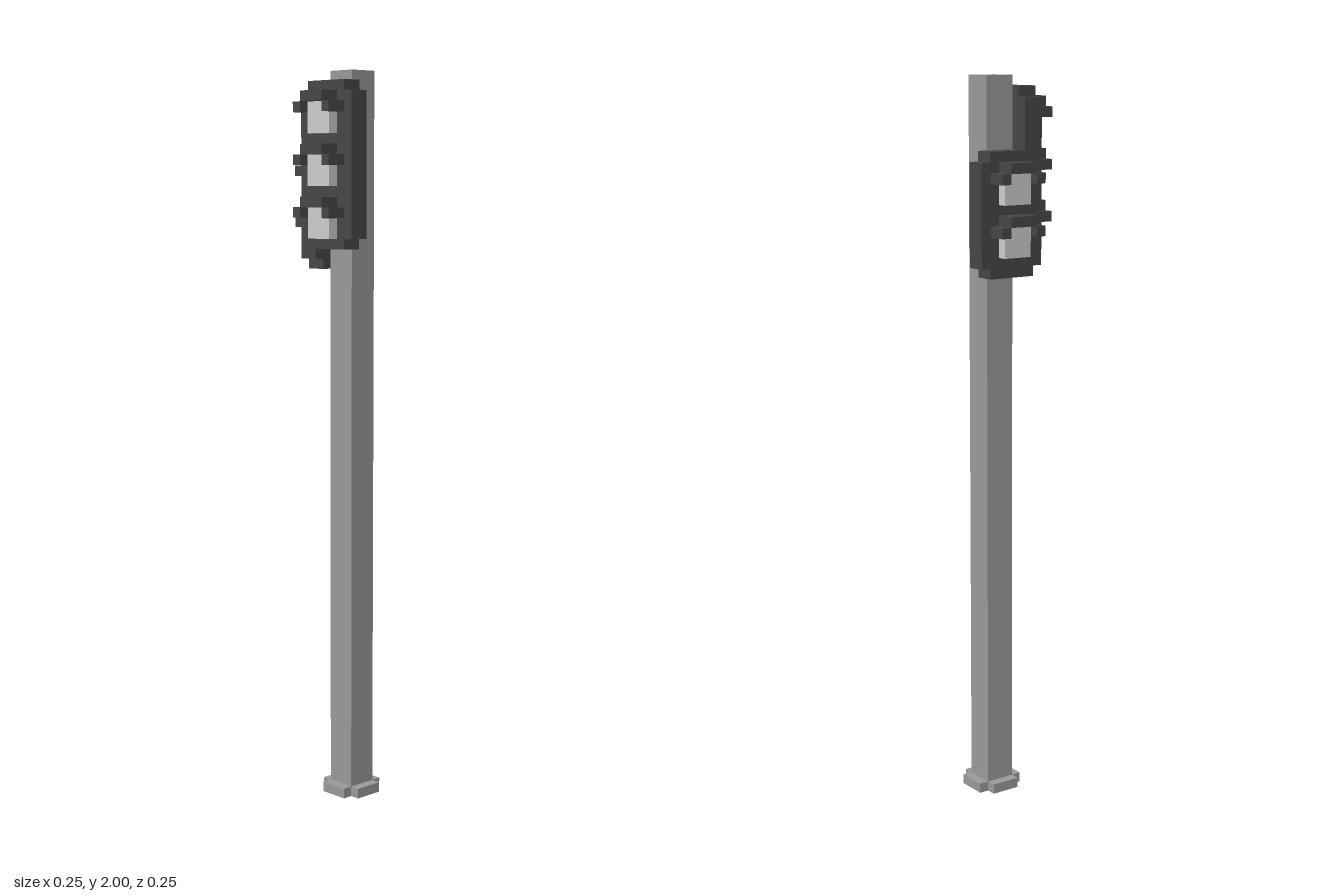
import * as THREE from 'three';

const U = 2 / 72; // size of one block

const mat = (name, color) => {
  const m = new THREE.MeshStandardMaterial({ color });
  m.name = name;
  return m;
};

// Box spanning the given block ranges
function box(name, material, [x0, x1], [y0, y1], [z0, z1]) {
  const mesh = new THREE.Mesh(
    new THREE.BoxGeometry((x1 - x0) * U, (y1 - y0) * U, (z1 - z0) * U), material);
  mesh.position.set((x0 + x1) / 2 * U, (y0 + y1) / 2 * U, (z0 + z1) / 2 * U);
  mesh.name = name;
  return mesh;
}

// Rectangle with one block notched out of every corner, extruded along z
function notchedPlate(w, h, depth) {
  const a = w / 2, b = h / 2;
  const pts = [
    [-a + 1, -b], [a - 1, -b], [a - 1, -b + 1], [a, -b + 1],
    [a, b - 1], [a - 1, b - 1], [a - 1, b], [-a + 1, b],
    [-a + 1, b - 1], [-a, b - 1], [-a, -b + 1], [-a + 1, -b + 1],
  ].map(([x, y]) => new THREE.Vector2(x * U, y * U));
  return new THREE.ExtrudeGeometry(new THREE.Shape(pts), { depth: depth * U, bevelEnabled: false });
}

export function createModel() {
  const poleGrey = mat('pole grey', 0x999999);
  const darkGrey = mat('housing dark grey', 0x464646);
  const lampGrey = mat('lamp light grey', 0xcccccc);

  const model = new THREE.Group();
  model.name = 'signalPost';

  // Everything is built around the pole axis
  const post = new THREE.Group();
  post.name = 'post';
  post.position.set(U, 0, -U);
  model.add(post);

  post.add(box('pole', poleGrey, [-1.5, 1.5], [0, 72], [-1.5, 1.5]));

  // Cross-shaped foot
  const foot = new THREE.Mesh(notchedPlate(5, 5, 1), poleGrey);
  foot.name = 'foot';
  foot.rotation.x = -Math.PI / 2;
  post.add(foot);

  // Signal head facing +z: housing, lamps and arched visors
  function signalHead(name, bottom, top, lampCount) {
    const head = new THREE.Group();
    head.name = name;
    const housing = new THREE.Mesh(notchedPlate(7, top - bottom, 2), darkGrey);
    housing.name = 'housing';
    housing.position.set(0, (top + bottom) / 2 * U, 1.5 * U);
    head.add(housing);
    for (let i = 0; i < lampCount; i++) {
      const y = top - 1 - i * 5; // top of this visor
      head.add(box('lamp', lampGrey, [-1.5, 1.5], [y - 4, y - 1], [3.5, 4.5]));
      head.add(box('visorTop', darkGrey, [-1.5, 1.5], [y - 1, y], [3.5, 5.5]));
      for (const s of [-2, 2]) {
        head.add(box('visorSide', darkGrey, [s - 0.5, s + 0.5], [y - 2, y - 1], [3.5, 5.5]));
      }
    }
    return head;
  }

  post.add(signalHead('frontSignal', 55, 71, 3));
  const side = signalHead('sideSignal', 53, 65, 2);
  side.rotation.y = -Math.PI / 2; // faces -x
  post.add(side);

  return model;
}
